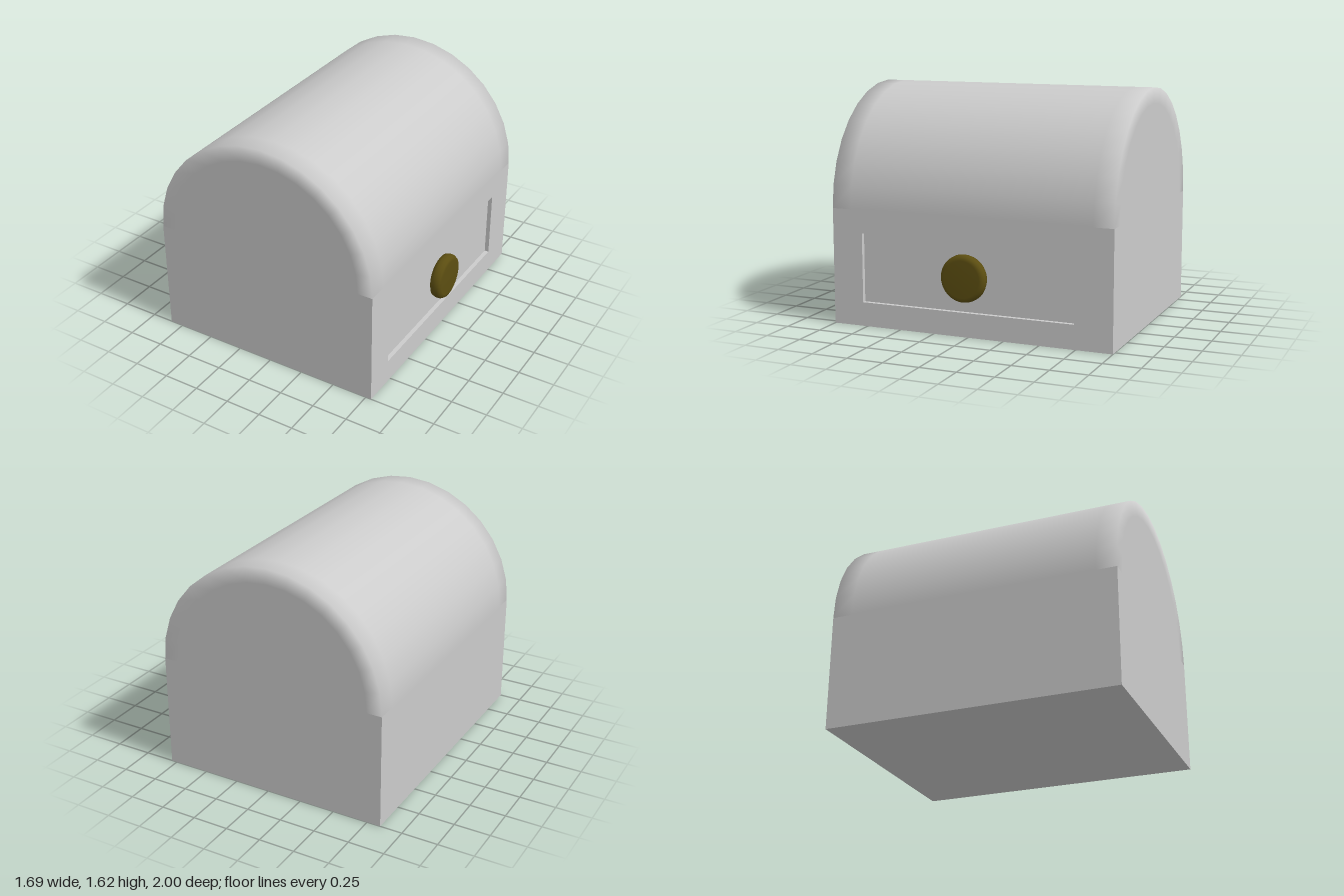
import * as THREE from 'three';

const LEFT = -0.845, RIGHT = 0.79, RECESS = 0.76, BASE_H = 0.8;

export function createModel() {
  const model = new THREE.Group();
  const grey = new THREE.MeshStandardMaterial({ color: 0xcccccc });
  const brass = new THREE.MeshStandardMaterial({ color: 0x5c4e11 });

  const add = (name, geometry, material = grey) => {
    const mesh = new THREE.Mesh(geometry, material);
    mesh.name = name;
    model.add(mesh);
    return mesh;
  };
  const profile = (pairs) => pairs.map(([r, h]) => new THREE.Vector2(r, h));

  // Solid base block; its +x face is the recessed drawer panel
  const base = add('base', new THREE.BoxGeometry(RECESS - LEFT, BASE_H, 2));
  base.position.set((LEFT + RECESS) / 2, BASE_H / 2, 0);

  // Frame around the drawer: a plate with a rectangular opening (shape x is -z)
  const plate = new THREE.Shape();
  plate.moveTo(-1, 0).lineTo(1, 0).lineTo(1, BASE_H).lineTo(-1, BASE_H).closePath();
  const opening = new THREE.Path();
  opening.moveTo(-0.78, 0.165).lineTo(-0.78, 0.64).lineTo(0.74, 0.64).lineTo(0.74, 0.165).closePath();
  plate.holes.push(opening);
  const frameGeometry = new THREE.ExtrudeGeometry(plate, { depth: RIGHT - RECESS, bevelEnabled: false });
  frameGeometry.rotateY(Math.PI / 2);
  add('drawerFrame', frameGeometry).position.x = RECESS;

  // Half-barrel lid with soft shading around its flat ends
  const radius = (RIGHT - LEFT) / 2;
  const lidGeometry = new THREE.LatheGeometry(profile([
    [0, -1], [0.71, -1], [radius, -1], [radius, -0.86],
    [radius, 0.86], [radius, 1], [0.71, 1], [0, 1],
  ]), 16, Math.PI / 2, Math.PI);
  lidGeometry.rotateX(Math.PI / 2);
  add('lid', lidGeometry).position.set((LEFT + RIGHT) / 2, BASE_H, 0);

  // Round drawer knob
  const knobGeometry = new THREE.LatheGeometry(profile([
    [0, 0], [0.13, 0], [0.152, 0.012], [0.16, 0.035],
    [0.158, 0.06], [0.147, 0.078], [0.125, 0.085], [0, 0.085],
  ]), 32);
  knobGeometry.rotateZ(-Math.PI / 2);
  add('drawerKnob', knobGeometry, brass).position.set(RECESS, 0.4, 0.02);

  return model;
}
